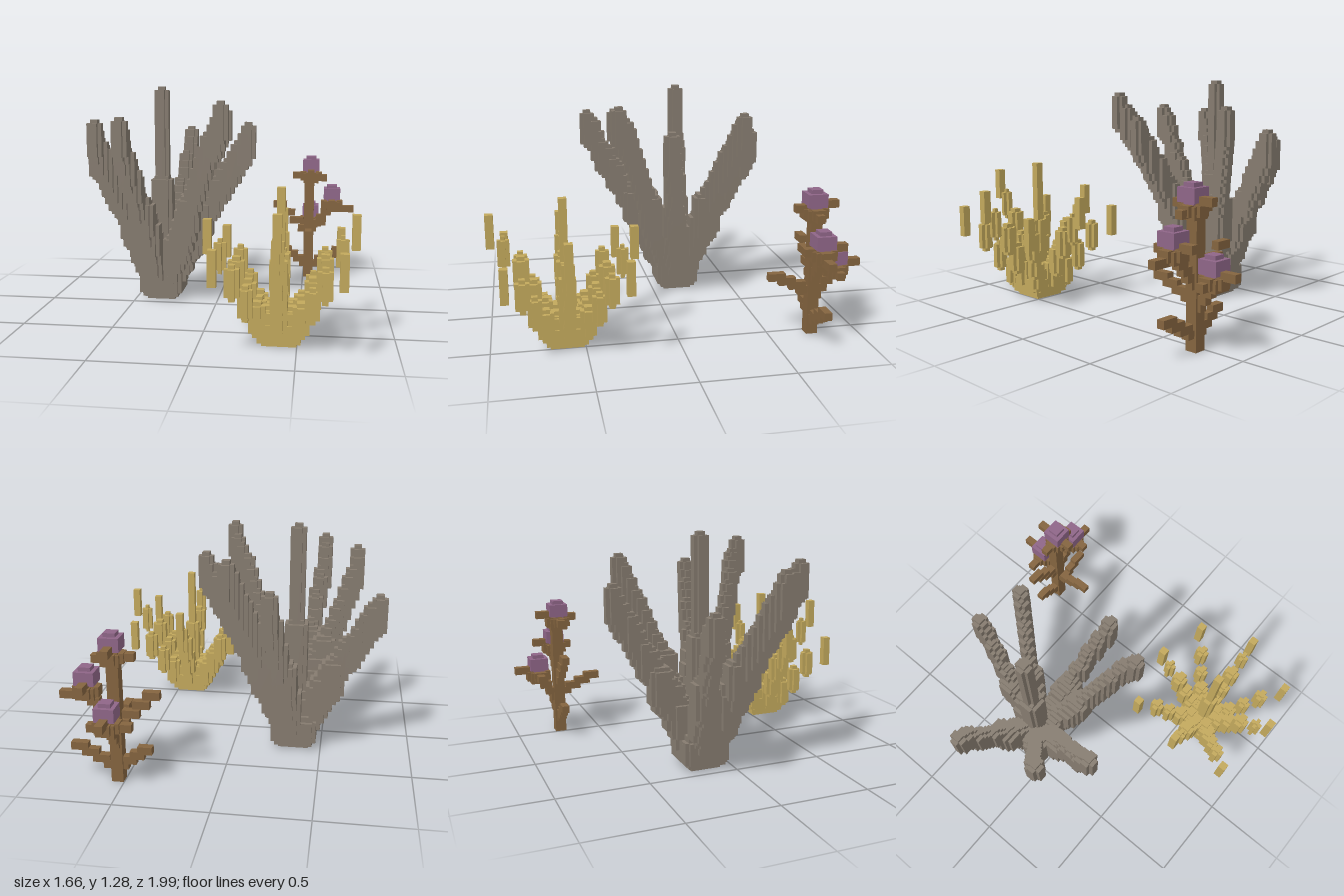
import * as THREE from 'three';
import { mergeGeometries } from 'three/addons/utils/BufferGeometryUtils.js';

const V = 0.0213; // size of one block
const mat = (name, color) => Object.assign(new THREE.MeshStandardMaterial({ color }), { name });

// box by centre x/z, bottom and top y, widths
function box(x, z, y0, y1, w, d = w) {
  return new THREE.BoxGeometry(w, y1 - y0, d).translate(x, (y0 + y1) / 2, z);
}

// upright column with stepped edges and narrower ends, w blocks wide
function column(x, z, y0, y1, w) {
  const a = w * V, b = (w - 2) * V;
  return [box(x, z, y0 + V, y1 - V, a, b), box(x, z, y0 + V, y1 - V, b, a), box(x, z, y0, y1, b)];
}

const snap = (n) => Math.round(n / V) * V;

function part(name, material, geos) {
  const mesh = new THREE.Mesh(mergeGeometries(geos), material);
  mesh.name = name;
  return mesh;
}

// tall grey coral: ring of leaning arms around one upright arm
function greyCoral(material) {
  const g = new THREE.Group();
  g.name = 'greyCoral';
  const cx = -0.345, cz = -0.155;
  g.add(part('greyBase', material, [
    box(cx, cz, 0, 0.2, 0.17), box(cx, cz, 0.02, 0.2, 0.215),
    ...column(cx, cz, 0.02, 0.19, 12),
    box(cx, cz, 0.05, 0.15, 0.256, 0.17), box(cx, cz, 0.05, 0.15, 0.17, 0.256),
  ]));
  g.add(part('greyCentreArm', material, [...column(cx, cz, 0, 1.285, 4), ...column(cx, cz, 0, 0.75, 6)]));
  const tips = [ // x, z, top
    [-0.235, -0.605, 1.02], [-0.01, -0.49, 1.15], [-0.785, -0.27, 0.935], [0.19, -0.03, 1.085],
    [0.055, 0.24, 1.215], [-0.48, 0.375, 1.13], [-0.675, 0.18, 1.105],
  ];
  for (const [tx, tz, top] of tips) {
    const geos = [], n = 15, tall = 0.23;
    for (let i = 0; i <= n; i++) {
      const t = i / n, s = 0.12 + 0.88 * t;
      const y = snap(0.03 + (top - tall - 0.03) * Math.pow(t, 0.95));
      const x = cx + snap((tx - cx) * s), z = cz + snap((tz - cz) * s);
      geos.push(...column(x, z, y, i === n ? top : y + tall, t < 0.45 ? 6 : 4));
    }
    g.add(part('greyArm', material, geos));
  }
  return g;
}

// yellow coral: eight fans of loose columns around a spike
function yellowCoral(material) {
  const g = new THREE.Group();
  g.name = 'yellowCoral';
  const cx = 0.41, cz = 0.597;
  g.add(part('yellowBase', material, [
    box(cx, cz, 0, 0.03, 0.18), box(cx, cz, 0.02, 0.07, 0.22), box(cx, cz, 0.045, 0.12, 0.26, 0.2),
    box(cx, cz, 0.045, 0.12, 0.2, 0.26), box(cx, cz, 0.07, 0.18, 0.24),
  ]));
  g.add(part('yellowSpike', material, [box(cx, cz, 0, 0.8, 2 * V), ...column(cx, cz, 0.05, 0.48, 4)]));
  const steps = [ // distance, bottom, width in blocks
    [0.06, 0.02, 4], [0.11, 0.05, 4], [0.165, 0.14, 4], [0.225, 0.255, 4], [0.31, 0.345, 3], [0.375, 0.45, 2],
  ];
  for (let i = -1; i <= 1; i++) for (let j = -1; j <= 1; j++) {
    if (!i && !j) continue;
    const diagonal = i && j, lift = diagonal ? 0.02 : i > 0 ? 0.04 : j > 0 ? 0.1 : 0;
    const geos = [];
    for (const [d, y, w] of steps) {
      if (diagonal && d > 0.32) continue;
      const x = cx + i * d, z = cz + j * d, y0 = y + lift * d / 0.375;
      if (w === 2 || (diagonal && d > 0.3)) geos.push(box(x, z, y0, y0 + 0.18, 2 * V));
      else geos.push(...column(x, z, y0, y0 + 0.185, diagonal && w > 3 && d > 0.12 ? 3.5 : w));
    }
    g.add(part('yellowArm', material, geos));
  }
  return g;
}

// brown stalk with stepped twigs and purple buds
function budStalk(brown, purple) {
  const g = new THREE.Group();
  g.name = 'budStalk';
  const cx = 0.535, cz = -0.74, w = 2 * V;
  g.add(part('stalk', brown, [box(cx, cz, 0, 0.72, 3 * V)]));

  // stepped twig leaving the stalk along (dx, dz)
  const twig = (dx, dz, y0, y1, reach, n = 4) => {
    const geos = [], seg = reach / n;
    for (let i = 0; i < n; i++) {
      const d = (i + 0.5) * seg, y = y0 + (y1 - y0) * i / (n - 1);
      geos.push(box(cx + dx * d, cz + dz * d, y, y + w,
        dx ? seg + 0.035 : w, dz ? seg + 0.035 : w));
    }
    g.add(part('twig', brown, geos));
  };
  twig(1, 0, 0.07, 0.165, 0.23);
  twig(-1, 0, 0.07, 0.16, 0.17);
  twig(0, 1, 0.235, 0.315, 0.235);
  twig(0, -1, 0.2, 0.32, 0.125);
  twig(1, 0, 0.31, 0.46, 0.16, 5);
  twig(-1, 0, 0.31, 0.47, 0.22);

  // bud on a stepped collar; stubs are [dx, dz, reach, y]
  const bud = (x, z, y, stubs) => {
    const geos = [
      box(x, z, y - 0.045, y + 0.01, 0.14, 0.065), box(x, z, y - 0.045, y + 0.01, 0.065, 0.14),
      box(x, z, y - 0.06, y + 0.005, 0.1),
    ];
    for (const [dx, dz, reach, h] of stubs) {
      const m = (reach + 0.03) / 2, l = reach - 0.03;
      geos.push(box(x + dx * m, z + dz * m, h, h + w, dx ? l : w, dz ? l : w));
    }
    g.add(part('budCollar', brown, geos));
    g.add(part('bud', purple, [
      box(x, z, y + V, y + 0.115 - V, 5 * V), box(x, z, y, y + 0.115, 3 * V),
    ]));
  };
  bud(0.545, -0.73, 0.705, [[-1, 0, 0.12, 0.67], [1, 0, 0.105, 0.655], [0, 1, 0.11, 0.695], [0, -1, 0.13, 0.715]]);
  bud(0.685, -0.73, 0.515, [[1, 0, 0.145, 0.45], [0, 1, 0.105, 0.495], [0, -1, 0.13, 0.515]]);
  bud(0.545, -0.86, 0.38, [[-1, 0, 0.13, 0.34], [1, 0, 0.105, 0.33], [0, -1, 0.14, 0.38]]);
  return g;
}

export function createModel() {
  const model = new THREE.Group();
  model.name = 'coralCluster';
  model.add(
    greyCoral(mat('greyCoral', 0x857b6f)),
    yellowCoral(mat('yellowCoral', 0xc2a85c)),
    budStalk(mat('brownStalk', 0x84643f), mat('purpleBud', 0x8f6688)),
  );
  return model;
}
